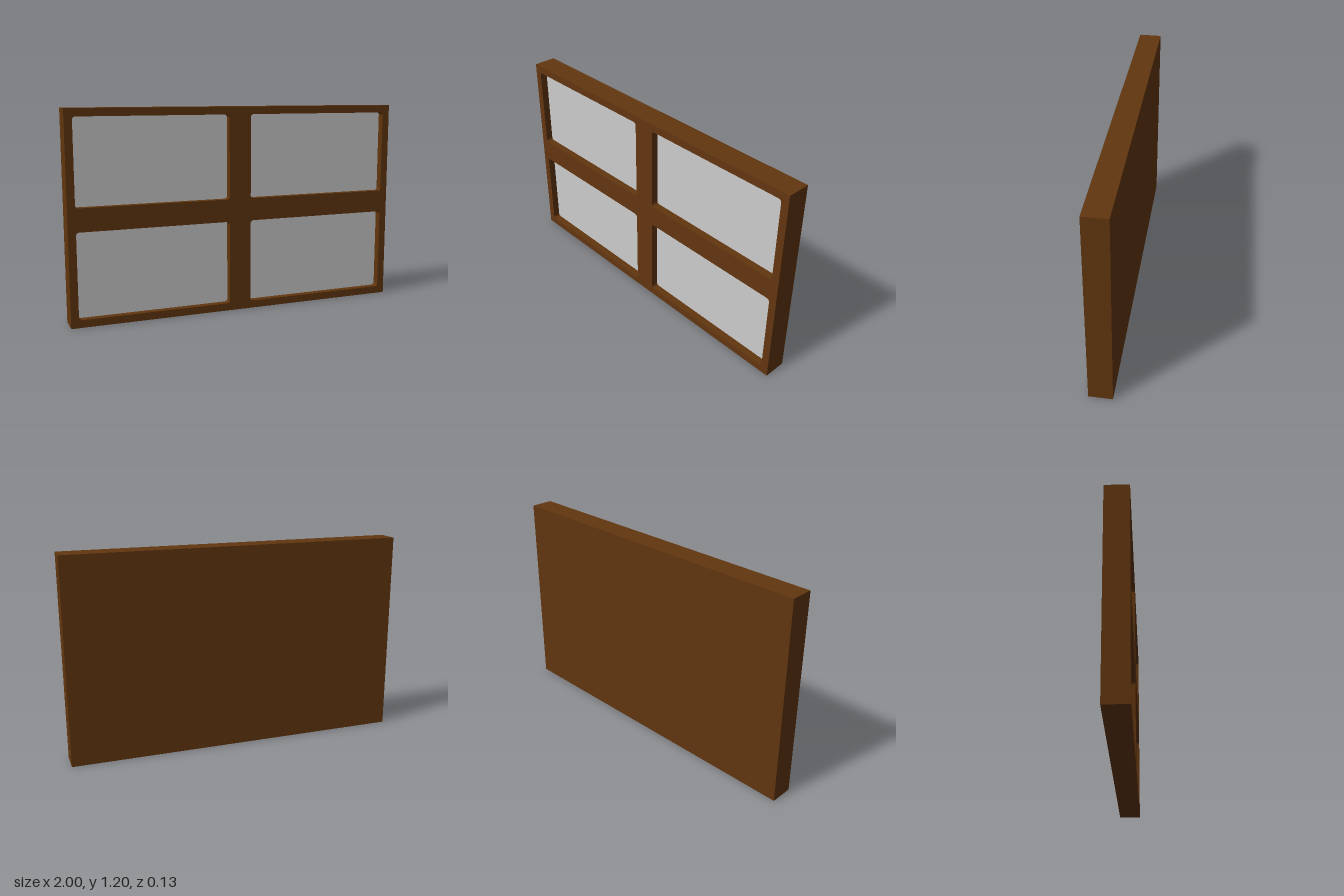
import * as THREE from 'three';

const W = 2, H = 1.2, D = 0.134;
const RIM = 0.044;      // outer border width
const BAR = 0.132;      // width of the central cross bars
const RECESS = 0.045;   // depth of the panes behind the front
const R = 0.018;        // corner radius of the openings

// Traces a rounded rectangle centred on (cx, cy)
function roundedRect(path, cx, cy, w, h, r) {
  const x0 = cx - w / 2, x1 = cx + w / 2, y0 = cy - h / 2, y1 = cy + h / 2;
  path.moveTo(x0 + r, y0);
  path.lineTo(x1 - r, y0);
  path.absarc(x1 - r, y0 + r, r, -Math.PI / 2, 0);
  path.lineTo(x1, y1 - r);
  path.absarc(x1 - r, y1 - r, r, 0, Math.PI / 2);
  path.lineTo(x0 + r, y1);
  path.absarc(x0 + r, y1 - r, r, Math.PI / 2, Math.PI);
  path.lineTo(x0, y0 + r);
  path.absarc(x0 + r, y0 + r, r, Math.PI, Math.PI * 1.5);
  return path;
}

export function createModel() {
  const group = new THREE.Group();
  group.name = 'window';

  const wood = new THREE.MeshStandardMaterial({ color: 0x62360f });
  wood.name = 'brown wood';
  const glass = new THREE.MeshStandardMaterial({ color: 0xcccccc });
  glass.name = 'pale grey glass';

  const add = (name, geometry, material, y, z) => {
    const mesh = new THREE.Mesh(geometry, material);
    mesh.name = name;
    mesh.position.set(0, y, z);
    group.add(mesh);
  };

  const paneW = (W - 2 * RIM - BAR) / 2;
  const paneH = (H - 2 * RIM - BAR) / 2;
  const floorZ = D / 2 - RECESS;

  // Solid back panel
  const backDepth = D - RECESS;
  add('backPanel', new THREE.BoxGeometry(W, H, backDepth), wood, H / 2, -D / 2 + backDepth / 2);

  // Front frame with four openings, and a recessed pane in each
  const outline = new THREE.Shape();
  outline.moveTo(-W / 2, 0);
  outline.lineTo(W / 2, 0);
  outline.lineTo(W / 2, H);
  outline.lineTo(-W / 2, H);
  for (const sy of [-1, 1]) {
    for (const sx of [-1, 1]) {
      const cx = sx * (BAR + paneW) / 2;
      const cy = H / 2 + sy * (BAR + paneH) / 2;
      outline.holes.push(roundedRect(new THREE.Path(), cx, cy, paneW, paneH, R));
      const pane = roundedRect(new THREE.Shape(), cx, cy, paneW, paneH, R);
      const name = (sy > 0 ? 'upper' : 'lower') + (sx > 0 ? 'Left' : 'Right') + 'Pane';
      add(name, new THREE.ShapeGeometry(pane, 4), glass, 0, floorZ + 0.002);
    }
  }
  const frame = new THREE.ExtrudeGeometry(outline, { depth: RECESS, bevelEnabled: false, curveSegments: 4 });
  add('frame', frame, wood, 0, floorZ);

  return group;
}
